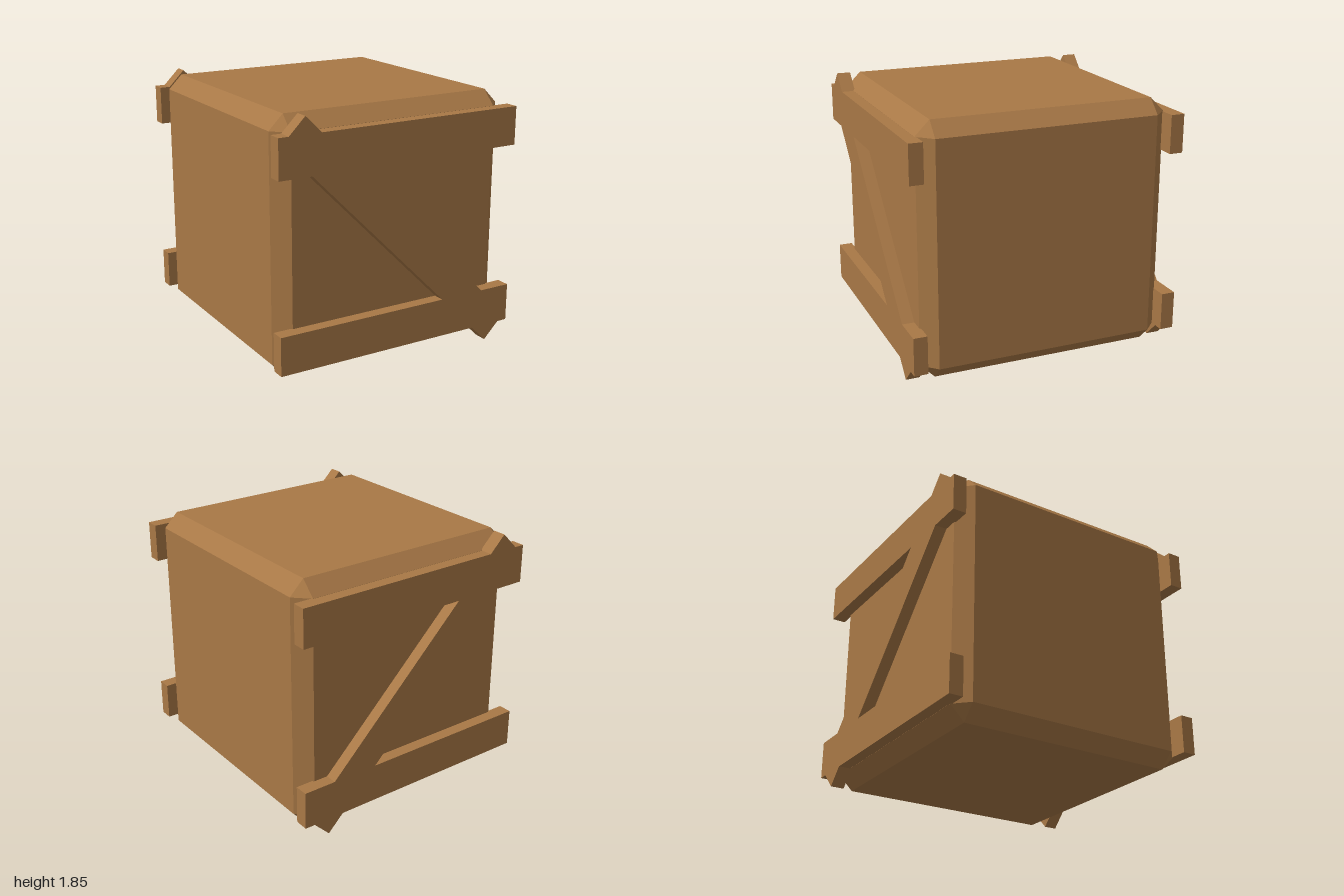
import * as THREE from 'three';
import { ConvexGeometry } from 'three/addons/geometries/ConvexGeometry.js';

export function createModel() {
  const group = new THREE.Group();
  group.name = 'crate';
  const wood = new THREE.MeshStandardMaterial({ color: 0xa87846 });
  wood.name = 'brown wood';
  const midY = 0.926;

  const add = (name, geometry, x, y, z, parent) => {
    const mesh = new THREE.Mesh(geometry, wood);
    mesh.name = name;
    mesh.position.set(x, y, z);
    parent.add(mesh);
    return mesh;
  };

  // Crate body: a cube with every edge and corner cut off
  const outer = 0.912, inner = 0.808;
  const corners = [];
  for (const sx of [-1, 1]) for (const sy of [-1, 1]) for (const sz of [-1, 1]) {
    corners.push(
      new THREE.Vector3(sx * outer, sy * inner, sz * inner),
      new THREE.Vector3(sx * inner, sy * outer, sz * inner),
      new THREE.Vector3(sx * inner, sy * inner, sz * outer));
  }
  add('crateBody', new ConvexGeometry(corners), 0, midY, 0, group);

  // Plank frame on the front and the back: two rails and a diagonal brace
  const thick = 0.1;
  const railGeo = new THREE.BoxGeometry(1.89, 0.278, thick);
  const braceGeo = new THREE.BoxGeometry(2.372, 0.246, thick);
  for (const side of [1, -1]) {
    const frame = new THREE.Group();
    frame.name = side > 0 ? 'frontFrame' : 'backFrame';
    frame.position.set(0, midY, side * 0.95);
    group.add(frame);
    add('topRail', railGeo, 0, 0.668, 0, frame);
    add('bottomRail', railGeo, 0, -0.668, 0, frame);
    add('diagonalBrace', braceGeo, 0, 0, 0, frame).rotation.z = -Math.PI / 4;
  }
  return group;
}
